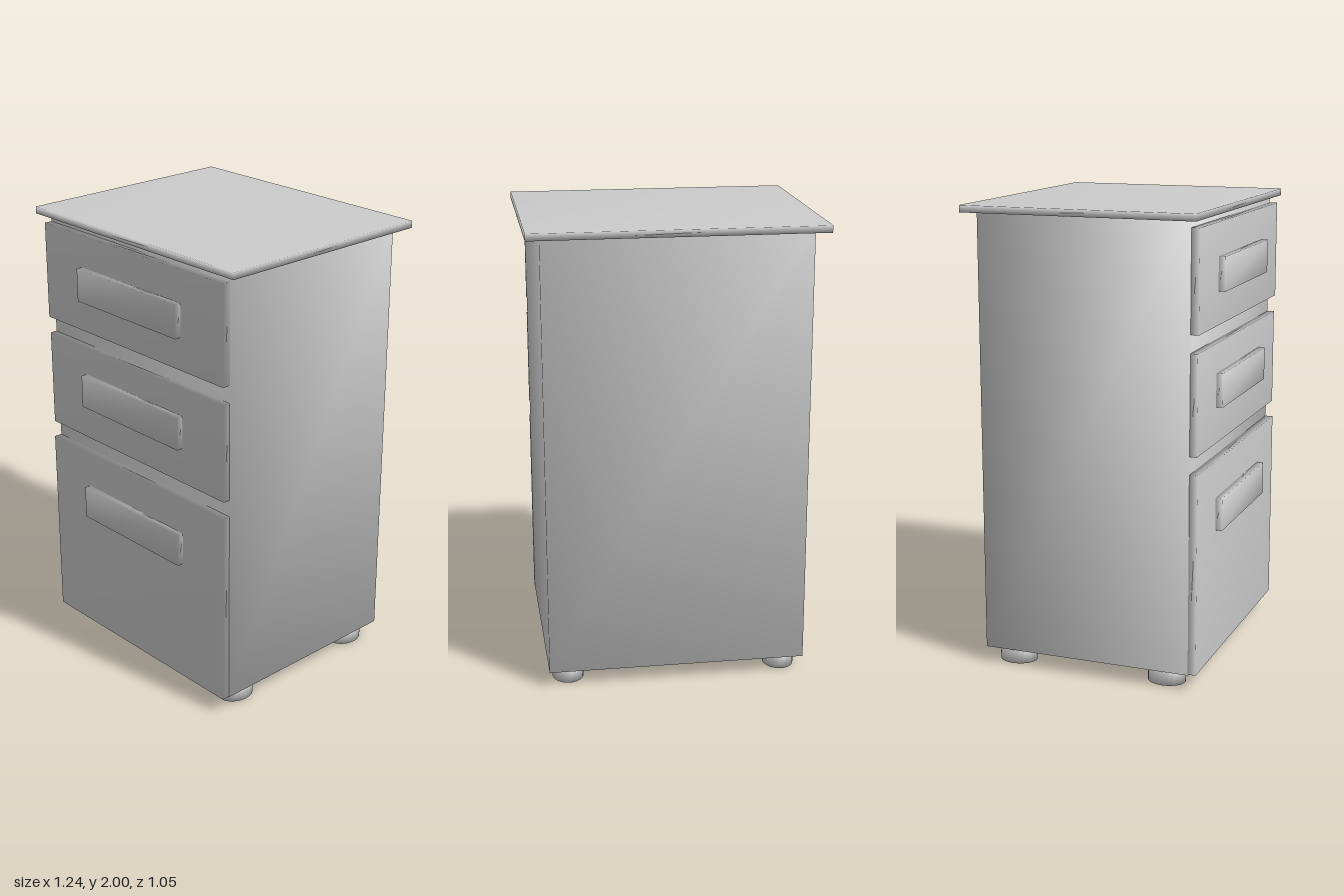
import * as THREE from 'three';
import { mergeVertices } from 'three/addons/utils/BufferGeometryUtils.js';

const grey = new THREE.MeshStandardMaterial({ color: 0xcccccc });

// Weld shared corners so that shading runs smoothly over the edges
function weld(geometry) {
  geometry.deleteAttribute('normal');
  geometry.deleteAttribute('uv');
  const welded = mergeVertices(geometry, 1e-4);
  welded.computeVertexNormals();
  return welded;
}

// Box given by its lower and upper limit on each axis
function box(name, [x0, x1], [y0, y1], [z0, z1]) {
  const mesh = new THREE.Mesh(weld(new THREE.BoxGeometry(x1 - x0, y1 - y0, z1 - z0)), grey);
  mesh.position.set((x0 + x1) / 2, (y0 + y1) / 2, (z0 + z1) / 2);
  mesh.name = name;
  return mesh;
}

export function createModel() {
  const model = new THREE.Group();
  model.name = 'drawerCabinet';

  // Carcass and overhanging top
  model.add(box('cabinetBody', [-0.56, 0.56], [0.07, 1.97], [-0.473, 0.457]));
  model.add(box('tabletop', [-0.618, 0.618], [1.97, 2], [-0.524, 0.494]));

  // Drawer fronts, each with a wide flat handle
  const drawers = [
    { name: 'topDrawer', y: [1.515, 1.94], handleY: 1.728, z: 0.492 },
    { name: 'middleDrawer', y: [1.015, 1.44], handleY: 1.243, z: 0.488 },
    { name: 'bottomDrawer', y: [0.075, 0.94], handleY: 0.708, z: 0.492 },
  ];
  for (const { name, y, handleY, z } of drawers) {
    const drawer = new THREE.Group();
    drawer.name = name;
    drawer.add(box('drawerFront', [-0.561, 0.561], y, [0.457, z]));
    drawer.add(box('handle', [-0.312, 0.312], [handleY - 0.072, handleY + 0.072], [z - 0.005, z + 0.029]));
    model.add(drawer);
  }

  // Four short oval feet
  const footGeometry = weld(new THREE.CylinderGeometry(1, 1, 0.07, 24));
  footGeometry.scale(0.068, 1, 0.083);
  for (const [end, z] of [['front', 0.335], ['back', -0.358]]) {
    for (const [side, x] of [['Left', 0.472], ['Right', -0.472]]) {
      const foot = new THREE.Mesh(footGeometry, grey);
      foot.name = `${end}${side}Foot`;
      foot.position.set(x, 0.035, z);
      model.add(foot);
    }
  }
  return model;
}
